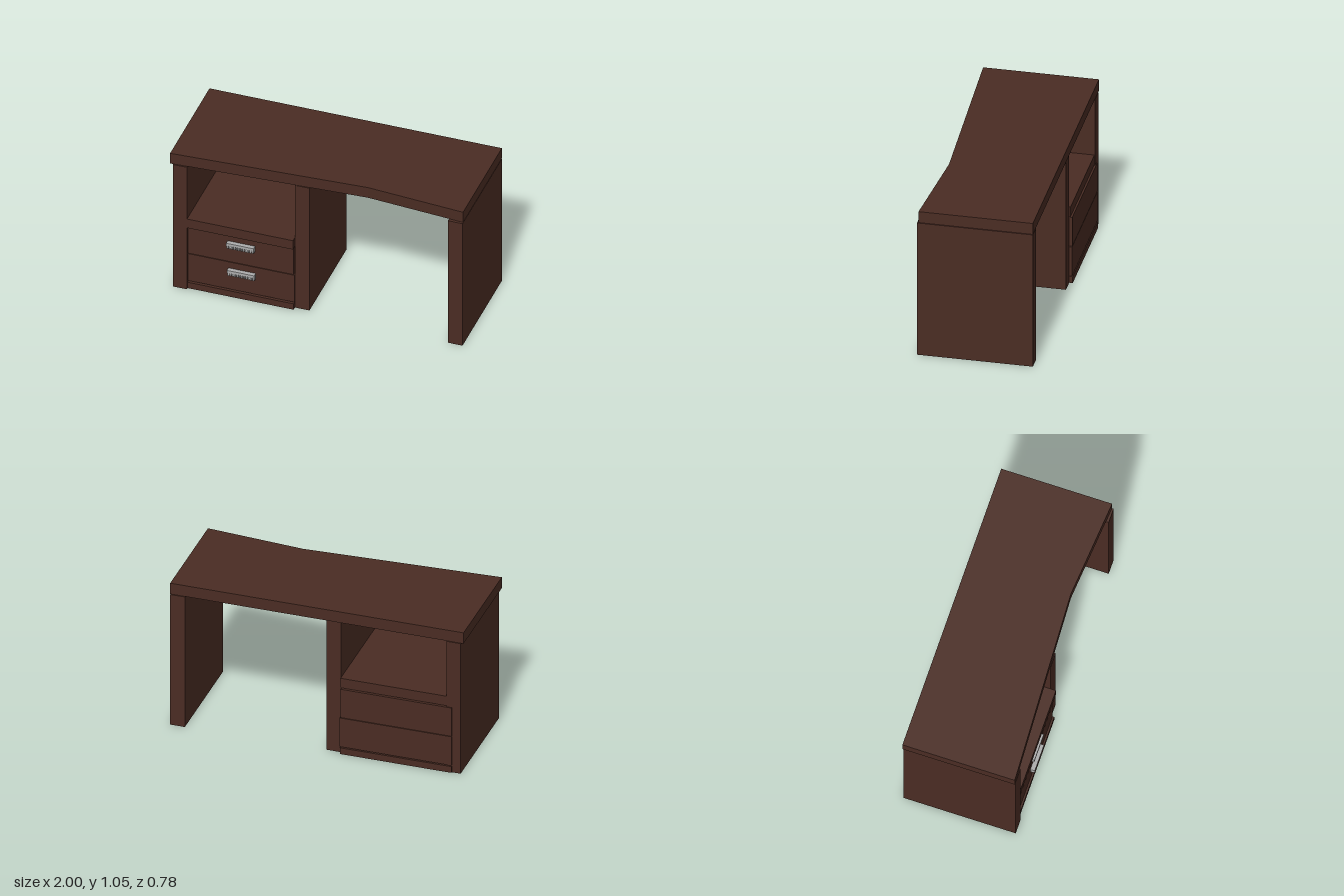
import * as THREE from 'three';

const wood = new THREE.MeshStandardMaterial({ color: 0x4a2c23 });
wood.name = 'darkWood';
const metal = new THREE.MeshStandardMaterial({ color: 0xadadad });
metal.name = 'greyMetal';

// Box given by its minimum and maximum on each axis
function block(name, material, [x0, x1], [y0, y1], [z0, z1]) {
  const mesh = new THREE.Mesh(new THREE.BoxGeometry(x1 - x0, y1 - y0, z1 - z0), material);
  mesh.position.set((x0 + x1) / 2, (y0 + y1) / 2, (z0 + z1) / 2);
  mesh.name = name;
  return mesh;
}

// Bar handle with a plain lip above a finely ribbed grip
function handle(name, x0, x1, y0) {
  const group = new THREE.Group();
  group.name = name;
  group.add(
    block('handleLip', metal, [x0, x1], [y0 + 0.022, y0 + 0.042], [0.355, 0.39]),
    block('handleGrip', metal, [x0, x1], [y0, y0 + 0.022], [0.355, 0.38])
  );
  const ribs = 12, pitch = (x1 - x0) / ribs;
  for (let i = 0; i < ribs; i++) {
    const x = x0 + (i + 0.2) * pitch;
    group.add(block('handleRib', metal, [x, x + pitch * 0.6], [y0, y0 + 0.022], [0.38, 0.388]));
  }
  return group;
}

export function createModel() {
  const desk = new THREE.Group();
  desk.name = 'desk';

  // Worktop with a shallow angled cut-in along the front edge
  const outline = new THREE.Shape([
    [-1, 0.38], [1, 0.38], [1, -0.375], [0.33, -0.32], [-1, -0.385]
  ].map(([x, y]) => new THREE.Vector2(x, y)));
  const top = new THREE.Mesh(
    new THREE.ExtrudeGeometry(outline, { depth: 0.08, bevelEnabled: false }), wood);
  top.rotation.x = -Math.PI / 2;
  top.position.y = 0.97;
  top.name = 'worktop';
  desk.add(top);

  // Upright panels
  desk.add(
    block('rightPanel', wood, [-0.98, -0.885], [0, 0.966], [-0.38, 0.385]),
    block('middlePanel', wood, [-0.16, -0.06], [0.002, 0.97], [-0.367, 0.347]),
    block('leftPanel', wood, [0.9, 1], [0, 0.966], [-0.38, 0.385])
  );

  // Shelf, two drawers and plinth, separated by narrow gaps
  desk.add(
    block('shelf', wood, [-0.885, -0.16], [0.485, 0.555], [-0.375, 0.383]),
    block('upperDrawer', wood, [-0.92, -0.164], [0.27, 0.48], [-0.386, 0.36]),
    block('lowerDrawer', wood, [-0.92, -0.158], [0.053, 0.266], [-0.386, 0.36]),
    block('plinth', wood, [-0.92, -0.16], [0.001, 0.047], [-0.39, 0.372])
  );

  desk.add(
    handle('upperHandle', -0.615, -0.428, 0.39),
    handle('lowerHandle', -0.61, -0.423, 0.176)
  );
  return desk;
}
